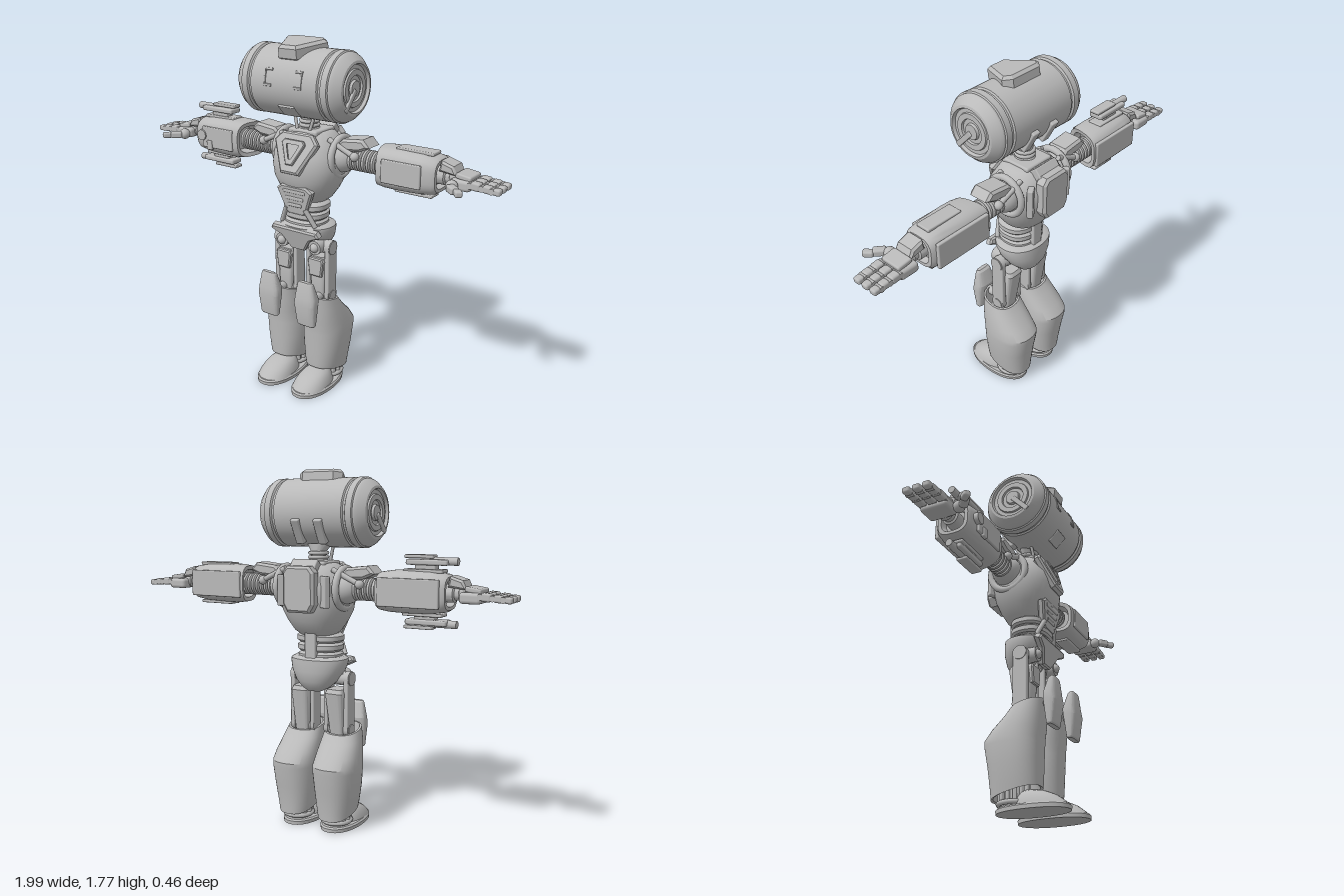
import * as THREE from 'three';
import { toCreasedNormals } from 'three/addons/utils/BufferGeometryUtils.js';
import { RoundedBoxGeometry } from 'three/addons/geometries/RoundedBoxGeometry.js';

const metal = new THREE.MeshStandardMaterial({ color: 0xbababa, side: THREE.DoubleSide });
metal.name = 'grey metal';
const V = (x, y, z) => new THREE.Vector3(x, y, z);

function add(parent, name, geo, pos = [0, 0, 0], rot = [0, 0, 0]) {
  const m = new THREE.Mesh(geo, metal);
  m.name = name;
  m.position.set(...pos);
  m.rotation.set(...rot);
  parent.add(m);
  return m;
}
function group(parent, name, pos = [0, 0, 0], rot = [0, 0, 0]) {
  const g = new THREE.Group();
  g.name = name;
  g.position.set(...pos);
  g.rotation.set(...rot);
  parent.add(g);
  return g;
}

// Skin over superellipse sections [y, rx, rz, cx, cz, tilt], closed at both ends
function loft(sections, power = 2, crease = 0.6, seg = 36) {
  const p = [], idx = [];
  const bend = (v) => Math.sign(v) * Math.pow(Math.abs(v), 2 / power);
  for (const [y, rx, rz, cx = 0, cz = 0, tilt = 0] of sections) {
    for (let i = 0; i < seg; i++) {
      const a = (i / seg) * Math.PI * 2, s = bend(Math.sin(a));
      p.push(cx + rx * bend(Math.cos(a)), y + tilt * s, cz + rz * s);
    }
  }
  const n = sections.length;
  for (let j = 0; j < n - 1; j++) for (let i = 0; i < seg; i++) {
    const a = j * seg + i, b = j * seg + (i + 1) % seg;
    idx.push(a, a + seg, b, b, a + seg, b + seg);
  }
  [0, n - 1].forEach((j) => {
    const [y, , , cx = 0, cz = 0] = sections[j], c = p.length / 3;
    p.push(cx, y, cz);
    for (let i = 0; i < seg; i++) {
      const a = j * seg + i, b = j * seg + (i + 1) % seg;
      j ? idx.push(c, b, a) : idx.push(c, a, b);
    }
  });
  const g = new THREE.BufferGeometry();
  g.setAttribute('position', new THREE.Float32BufferAttribute(p, 3));
  g.setIndex(idx);
  return toCreasedNormals(g, crease);
}

// Bevelled flat plate; half outlines are mirrored in x when mirror is set
function plate(pts, depth, bevel = 0.006, hole = null, mirror = true) {
  const full = (a) => (mirror ? [...a, ...a.map(([x, y]) => [-x, y]).reverse()] : a).map((q) => new THREE.Vector2(...q));
  const s = new THREE.Shape(full(pts));
  if (hole) s.holes.push(new THREE.Path(full(hole)));
  return new THREE.ExtrudeGeometry(s, { depth, bevelEnabled: bevel > 0, bevelSize: bevel, bevelThickness: bevel, bevelOffset: -bevel, bevelSegments: 1 });
}
function rod(parent, name, a, b, r0, r1 = r0) {
  const d = b.clone().sub(a);
  const m = add(parent, name, new THREE.CylinderGeometry(r1, r0, d.length(), 16), a.clone().add(b).multiplyScalar(0.5).toArray());
  m.quaternion.setFromUnitVectors(V(0, 1, 0), d.normalize());
  return m;
}
const box = (w, h, d, r = 0.006) => new RoundedBoxGeometry(w, h, d, 2, Math.min(r, w / 3, h / 3, d / 3));
const drumX = (pts, seg = 48) => toCreasedNormals(new THREE.LatheGeometry(pts.map((q) => new THREE.Vector2(...q)), seg), 0.4).rotateZ(-Math.PI / 2);

function buildHead(root) {
  const head = group(root, 'head', [0, 1.567, 0.018]);
  // Half profile of the barrel, from the hub outwards
  const side = [[0.166, 0.185], [0.158, 0.19], [0.158, 0.2], [0.167, 0.206], [0.167, 0.238], [0.16, 0.242],
    [0.16, 0.25], [0.152, 0.265], [0.125, 0.292], [0.112, 0.295], [0.106, 0.28], [0.088, 0.28], [0.085, 0.288], [0.06, 0.288], [0.057, 0.278], [0, 0.278]];
  add(head, 'barrel', drumX([...side.map(([r, y]) => [r, -y]).reverse(), ...side]));
  for (const s of [-1, 1]) {
    add(head, 'earHub', new THREE.CylinderGeometry(0.035, 0.04, 0.016, 24), [s * 0.282, 0, 0], [0, 0, -s * Math.PI / 2]);
    add(head, 'earLever', box(0.014, 0.026, 0.12), [s * 0.289, -0.05, 0.044], [0.82, 0, 0]);
    for (const y of [0.072, 0.002]) add(head, 'eyeBar', box(0.042, 0.012, 0.012, 0.003), [s * 0.084, y, Math.sqrt(0.0272 - y * y)], [-y / 0.166, 0, 0]);
    add(head, 'eyeSide', box(0.008, 0.07, 0.01, 0.002), [s * 0.101, 0.037, 0.16], [-0.22, 0, 0]);
    add(head, 'rearVent', box(0.045, 0.13, 0.035), [s * 0.062, -0.085, -0.135], [-0.5, 0, 0]);
  }
  add(head, 'mouthGrille', box(0.09, 0.075, 0.012), [0, -0.118, 0.115], [0.8, 0, 0]);
  // Crest on top, narrow end forward
  add(head, 'crest', plate([[0.085, 0.06], [0.12, 0.025], [0.05, -0.13]], 0.045, 0.014), [0, 0.14, -0.005], [-Math.PI / 2 + 0.14, 0, 0]);
  add(root, 'neck', loft([[1.31, 0.06, 0.06, 0, -0.035], [1.34, 0.045, 0.05, 0, -0.035], [1.36, 0.035, 0.04, 0, -0.03],
    [1.385, 0.04, 0.04, 0, -0.03], [1.42, 0.065, 0.05, 0, -0.02]]));
  for (const y of [1.335, 1.355, 1.375]) add(root, 'neckRing', new THREE.TorusGeometry(0.043, 0.009, 8, 28), [0, y, -0.032], [Math.PI / 2, 0, 0]);
  for (const s of [-1, 1]) rod(root, 'neckPiston', V(s * 0.035, 1.33, 0.02), V(s * 0.06, 1.42, 0.01), 0.008);
}

function buildTorso(root) {
  const torso = group(root, 'torso');
  add(torso, 'chest', loft([[0.975, 0.085, 0.07, 0, -0.03], [1.0, 0.115, 0.1, 0, -0.035], [1.05, 0.15, 0.13, 0, -0.035], [1.1, 0.175, 0.15, 0, -0.035],
    [1.16, 0.187, 0.16, 0, -0.04], [1.22, 0.182, 0.16, 0, -0.045], [1.28, 0.15, 0.135, 0, -0.05], [1.32, 0.115, 0.105, 0, -0.05], [1.33, 0.09, 0.08, 0, -0.05]], 2.3));
  // Sloping breastplate with a three-sided frame
  const breast = group(torso, 'breastplate', [0, 1.225, 0.085], [-0.4, 0, 0]);
  add(breast, 'breastPanel', plate([[0.085, 0.105], [0.125, 0.06], [0.05, -0.095]], 0.02, 0.01));
  add(breast, 'chestFrame', plate([[0.052, 0.068], [0.066, 0.05], [0.018, -0.055]], 0.016, 0.004, [[0.036, 0.048], [0.04, 0.04], [0.01, -0.03]]), [0, 0, 0.024]);
  add(torso, 'collar', box(0.17, 0.03, 0.16, 0.01), [0, 1.325, -0.045]);
  // Backpack
  add(torso, 'backPanel', plate([[0.06, 0.11], [0.085, 0.08], [0.085, -0.07], [0.06, -0.11]], 0.04, 0.012), [0, 1.21, -0.22]);
  add(torso, 'backPanelTop', box(0.14, 0.07, 0.08), [0, 1.3, -0.15], [0.7, 0, 0]);
  for (const x of [-0.04, 0, 0.04]) add(torso, 'backRib', box(0.02, 0.13, 0.014), [x, 1.22, -0.222]);
  for (const s of [-1, 1]) add(torso, 'backSidePanel', box(0.05, 0.15, 0.03), [s * 0.118, 1.2, -0.175], [0, s * 0.55, 0]);
  // Belly and waist
  add(torso, 'bellyPlate', plate([[0.07, 0.08], [0.105, 0.055], [0.06, -0.06], [0.045, -0.075]], 0.02, 0.008), [0, 1.0, 0.068], [0.14, 0, 0]);
  for (let i = 0; i < 3; i++) add(torso, 'bellySlat', box(0.13 - i * 0.025, 0.018, 0.014), [0, 1.045 - i * 0.035, 0.099 - i * 0.004]);
  for (let i = 0; i < 3; i++) {
    const y = 0.85 + i * 0.045, r = 0.1 + 0.004 * i;
    add(torso, 'waistSegment', loft([[y, r, 0.085, 0, -0.01], [y + 0.01, r + 0.01, 0.095, 0, -0.01], [y + 0.032, r + 0.01, 0.095, 0, -0.01], [y + 0.045, r - 0.01, 0.078, 0, -0.01]], 2.4));
  }
  add(torso, 'spine', box(0.06, 0.14, 0.04), [0, 0.93, -0.1]);
  for (const s of [-1, 1]) rod(torso, 'waistPiston', V(s * 0.1, 0.87, 0.06), V(s * 0.055, 0.96, 0.085), 0.012);
  add(torso, 'pelvis', loft([[0.7, 0.04, 0.025, 0, -0.07], [0.715, 0.07, 0.05, 0, -0.06], [0.75, 0.105, 0.085, 0, -0.045], [0.8, 0.135, 0.108, 0, -0.03],
    [0.845, 0.147, 0.117, 0, -0.02], [0.86, 0.145, 0.117, 0, -0.02], [0.872, 0.125, 0.1, 0, -0.015]], 2.2));
  add(torso, 'belt', plate([[0.13, 0.025], [0.145, 0], [0.085, -0.03], [0.04, -0.1]], 0.025, 0.008), [0, 0.838, 0.07], [0.3, 0, 0]);
}

function buildLeg(root, s) {
  const leg = group(root, s > 0 ? 'leftLeg' : 'rightLeg');
  leg.scale.x = s;
  // Hip joint
  add(leg, 'hipHub', new THREE.CylinderGeometry(0.036, 0.036, 0.09, 24), [0.1, 0.765, 0.025], [Math.PI / 2, 0, 0]);
  add(leg, 'hipCap', new THREE.SphereGeometry(0.024, 20, 12), [0.1, 0.765, 0.066]);
  add(leg, 'hipAxle', new THREE.CylinderGeometry(0.035, 0.035, 0.15, 24), [0.095, 0.76, 0.005], [0, 0, Math.PI / 2]);
  // Thigh rails and core
  for (const [x, w] of [[0.153, 0.026], [0.04, 0.022]]) {
    add(leg, 'thighRail', box(w, 0.27, 0.075), [x, 0.635, 0.003]);
    for (const y of [0.76, 0.505]) add(leg, 'railEnd', new THREE.CylinderGeometry(0.038, 0.038, w, 24), [x, y, 0.003], [0, 0, Math.PI / 2]);
  }
  add(leg, 'thighCore', loft([[0.45, 0.035, 0.035, 0.1, 0], [0.52, 0.04, 0.045, 0.1, 0], [0.69, 0.05, 0.06, 0.098, -0.01], [0.71, 0.04, 0.05, 0.098, -0.01]], 5));
  add(leg, 'thighPlate', plate([[0.038, 0.045], [0.045, 0.03], [0.035, -0.05]], 0.016), [0.098, 0.66, 0.04]);
  add(leg, 'kneeAxle', new THREE.CylinderGeometry(0.03, 0.03, 0.14, 20), [0.1, 0.5, 0.003], [0, 0, Math.PI / 2]);
  // Knee guard, wrapped front plate
  add(leg, 'kneeGuard', loft([[0.383, 0.048, 0.014, 0.113, 0.153], [0.39, 0.052, 0.02, 0.113, 0.153], [0.5, 0.062, 0.036, 0.112, 0.154],
    [0.535, 0.06, 0.034, 0.112, 0.15], [0.61, 0.043, 0.018, 0.112, 0.158], [0.62, 0.036, 0.01, 0.112, 0.162]], 3.2, 0.35));
  rod(leg, 'kneeStrut', V(0.112, 0.5, 0.02), V(0.112, 0.5, 0.14), 0.022);
  // Bell-shaped shin shell with hollow ends
  add(leg, 'shin', loft([[0.15, 0.07, 0.09, 0.115, -0.03], [0.092, 0.078, 0.108, 0.115, -0.03, 0.026], [0.088, 0.088, 0.12, 0.113, -0.03, 0.026],
    [0.12, 0.094, 0.122, 0.113, -0.03, 0.02], [0.22, 0.108, 0.129, 0.115, -0.035, 0.01], [0.31, 0.113, 0.14, 0.116, -0.042], [0.335, 0.112, 0.141, 0.116, -0.042],
    [0.38, 0.108, 0.127, 0.115, -0.022], [0.45, 0.1, 0.098, 0.11, 0.012, 0.01], [0.5, 0.09, 0.085, 0.107, 0.03, 0.02], [0.502, 0.08, 0.075, 0.107, 0.03, 0.02], [0.42, 0.075, 0.07, 0.107, 0.02]], 2.4, 0.5));
  // Ankle with a ring of struts
  add(leg, 'ankle', new THREE.CylinderGeometry(0.05, 0.06, 0.14, 24), [0.112, 0.095, -0.045]);
  for (let i = 0; i < 12; i++) {
    const a = (i / 12) * Math.PI * 2;
    add(leg, 'ankleStrut', box(0.02, 0.1, 0.02), [0.112 + 0.064 * Math.cos(a), 0.09, -0.045 + 0.064 * Math.sin(a)], [0, -a, 0]);
  }
  add(leg, 'ankleRing', new THREE.TorusGeometry(0.07, 0.012, 10, 32), [0.112, 0.045, -0.045], [Math.PI / 2, 0, 0]);
  add(leg, 'sole', loft([[0, 0.095, 0.18, 0.11, 0.05], [0.018, 0.097, 0.181, 0.11, 0.05], [0.026, 0.09, 0.174, 0.11, 0.05]], 2.2));
  add(leg, 'toeCap', loft([[0.02, 0.088, 0.13, 0.11, 0.093], [0.04, 0.084, 0.12, 0.11, 0.085], [0.065, 0.073, 0.098, 0.11, 0.075],
    [0.085, 0.058, 0.07, 0.11, 0.06], [0.098, 0.035, 0.04, 0.11, 0.045], [0.101, 0.015, 0.02, 0.11, 0.045]], 2.2));
}

function buildArm(root, s) {
  const arm = group(root, s > 0 ? 'leftArm' : 'rightArm', [0, 1.213, -0.065]);
  arm.scale.x = s;
  // Shoulder socket and ribbed upper arm
  add(arm, 'shoulderSocket', new THREE.TorusGeometry(0.095, 0.017, 12, 40), [0.165, 0, 0], [0, Math.PI / 2, 0]);
  add(arm, 'shoulderBall', new THREE.SphereGeometry(0.075, 28, 18), [0.175, 0, 0]);
  const ribs = [];
  for (let i = 0; i < 9; i++) ribs.push([0.043, 0.2 + i * 0.025], [0.055, 0.206 + i * 0.025], [0.055, 0.218 + i * 0.025], [0.043, 0.223 + i * 0.025]);
  add(arm, 'upperArm', drumX(ribs, 28));
  add(arm, 'shoulderGuard', plate([[0.15, 0.045], [0.2, 0.1], [0.31, 0.112], [0.345, 0.075], [0.29, 0.05], [0.22, 0.045]], 0.09, 0.012, null, false), [0, 0, -0.045]);
  for (const z of [-0.06, 0.06]) {
    rod(arm, 'shoulderPiston', V(0.13, 0.09, z), V(0.27, 0.025, z * 0.9), 0.013);
    add(arm, 'pistonKnob', new THREE.SphereGeometry(0.022, 16, 12), [0.27, 0.025, z * 0.9]);
  }
  // Forearm shell, hollow at the elbow
  add(arm, 'forearm', loft([[0.45, 0.06, 0.06], [0.392, 0.07, 0.075, 0, 0, 0.02], [0.388, 0.09, 0.095, 0, 0, 0.022], [0.43, 0.096, 0.1, 0, 0, 0.018],
    [0.5, 0.098, 0.1], [0.62, 0.095, 0.095], [0.685, 0.085, 0.088], [0.7, 0.075, 0.078], [0.7, 0.06, 0.06], [0.67, 0.05, 0.05]], 3).rotateZ(-Math.PI / 2));
  for (const y of [-0.1, 0.096]) add(arm, 'forearmPlate', box(0.19, 0.016, 0.075), [0.575, y, 0.0]);
  add(arm, 'forearmBackPlate', box(0.3, 0.13, 0.02), [0.53, 0, -0.095]);
  add(arm, 'forearmFrontPlate', box(0.2, 0.11, 0.016), [0.54, 0, 0.097]);
  // Wrist and palm
  add(arm, 'wrist', drumX([[0, 0.66], [0.04, 0.66], [0.04, 0.72], [0.03, 0.725], [0.03, 0.745], [0.038, 0.75], [0.03, 0.79], [0, 0.79]], 24));
  add(arm, 'wristGuard', plate([[0.7, 0.03], [0.71, 0.08], [0.77, 0.062], [0.79, 0.02]], 0.08, 0.01, null, false), [0, 0, -0.04]);
  add(arm, 'palm', box(0.1, 0.05, 0.14, 0.016), [0.81, -0.012, -0.003]);
  add(arm, 'knuckleGuard', box(0.075, 0.024, 0.11, 0.008), [0.82, 0.022, -0.003], [0, 0, -0.15]);
  // Three jointed fingers and a thumb
  for (const z of [-0.053, -0.003, 0.047]) {
    [0.052, 0.046, 0.042].forEach((len, i) => {
      const x = 0.883 + [0, 0.052, 0.096][i];
      add(arm, 'fingerSegment', box(len - 0.006, 0.038 - i * 0.004, 0.042 - i * 0.002, 0.01), [x, -0.004 - i * 0.004, z], [0, 0, -0.08]);
      add(arm, 'fingerJoint', new THREE.CylinderGeometry(0.014, 0.014, 0.038, 14), [x - len / 2, -0.004 - i * 0.004, z], [Math.PI / 2, 0, 0]);
    });
  }
  add(arm, 'thumbBase', new THREE.SphereGeometry(0.028, 18, 12), [0.785, -0.012, 0.085]);
  add(arm, 'thumbSegment', box(0.06, 0.034, 0.04, 0.01), [0.808, -0.012, 0.125], [0, -0.7, 0]);
  add(arm, 'thumbTip', box(0.05, 0.03, 0.034, 0.01), [0.847, -0.014, 0.153], [0, -0.9, 0]);
  // Gadgets carried only on the right forearm
  if (s < 0) {
    for (const d of [-1, 1]) {
      const gadget = group(arm, 'forearmGadget');
      add(gadget, 'gadgetMount', box(0.1, 0.05, 0.05), [0.58, d * 0.115, 0.005]);
      add(gadget, 'gadgetBody', box(0.2, 0.026, 0.075, 0.01), [0.59, d * 0.135, 0.005]);
      add(gadget, 'gadgetCover', box(0.14, 0.016, 0.055), [0.55, d * 0.16, 0.005]);
      rod(gadget, 'gadgetBarrel', V(0.6, d * 0.14, 0.005), V(0.73, d * 0.14, 0.005), 0.018);
    }
    add(arm, 'forearmButton', new THREE.CylinderGeometry(0.028, 0.03, 0.024, 24), [0.64, 0.008, 0.1], [Math.PI / 2, 0, 0]);
    add(arm, 'forearmLatch', box(0.035, 0.05, 0.02), [0.59, -0.04, 0.102]);
  }
}

export function createModel() {
  const root = new THREE.Group();
  root.name = 'robot';
  buildHead(root);
  buildTorso(root);
  for (const s of [1, -1]) {
    buildLeg(root, s);
    buildArm(root, s);
  }
  return root;
}
